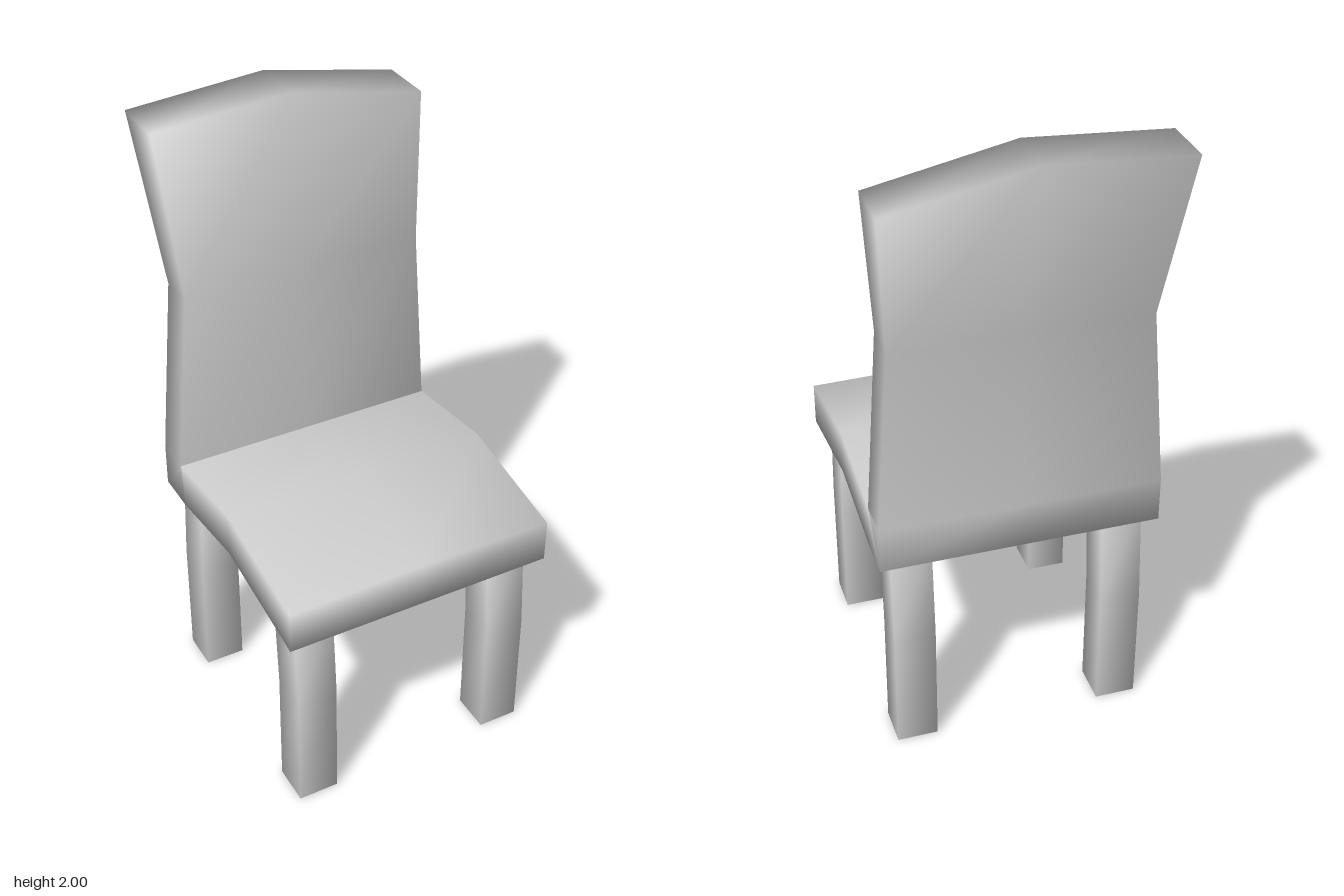
import * as THREE from 'three';

// Skins a list of closed rings (equal point counts) and caps both ends, with shared smooth normals
function loft(name, rings) {
  const n = rings[0].length, index = [];
  const quad = (a, b, c, d) => index.push(a, b, c, a, c, d);
  for (let r = 0; r < rings.length - 1; r++) {
    for (let i = 0; i < n; i++) {
      const j = (i + 1) % n, p = r * n, q = p + n;
      quad(p + i, p + j, q + j, q + i);
    }
  }
  const last = (rings.length - 1) * n;
  for (let i = 0; i < n / 2 - 1; i++) {
    quad(n - 1 - i, n - 2 - i, i + 1, i);
    quad(last + i, last + i + 1, last + n - 2 - i, last + n - 1 - i);
  }
  const geometry = new THREE.BufferGeometry();
  geometry.setAttribute('position', new THREE.Float32BufferAttribute(rings.flat(2), 3));
  geometry.setIndex(index);
  geometry.computeVertexNormals();
  const mesh = new THREE.Mesh(geometry, new THREE.MeshStandardMaterial({ color: 0xcccccc }));
  mesh.name = name;
  return mesh;
}

// Cross-section of the shell: three points on the sitting side, three on the outer side.
// inner/outer are [z, y]; lift raises the right edge, centre and left edge
function section(inner, outer, right = 0.44, left = 0.44, lift = [0, 0, 0], outerLift = lift) {
  const xs = [-right, 0, left];
  const row = ([z, y], up) => xs.map((x, i) => [x, y + up[i], z]);
  return [...row(inner, lift), ...row(outer, outerLift).reverse()];
}

export function createModel() {
  const chair = new THREE.Group();
  chair.name = 'chair';

  // Seat and backrest in one bent slab, from the seat's front lip to the crooked top edge
  const corner = [-0.255, 0.85], none = [0, 0, 0];
  chair.add(loft('seatAndBackrest', [
    section([0.5, 0.82], [0.5, 0.68], 0.44, 0.44, [0, 0.008, 0], none),
    section([0.09, 0.895], [0.09, 0.75]),
    section(corner, [-0.24, 0.705]),
    section(corner, [-0.38, 0.705]),
    section(corner, [-0.38, 0.85]),
    section([-0.255, 1.45], [-0.38, 1.44], 0.39, 0.4),
    section([-0.315, 2], [-0.495, 2], 0.44, 0.44, [-0.03, 0, -0.09]),
  ]));

  // Square legs, bent slightly towards the back (front pair) or the front (rear pair)
  const h = 0.065;
  for (const [end, z, lean] of [['front', 0.4, -0.024], ['rear', -0.297, 0.026]]) {
    for (const [side, x] of [['Left', 0.335], ['Right', -0.335]]) {
      const ring = (y, cz) => [
        [x - h, y, cz + h], [x + h, y, cz + h], [x + h, y, cz - h], [x - h, y, cz - h],
      ];
      chair.add(loft(`${end}${side}Leg`, [ring(0, z), ring(0.41, z), ring(0.73, z + lean)]));
    }
  }
  return chair;
}
